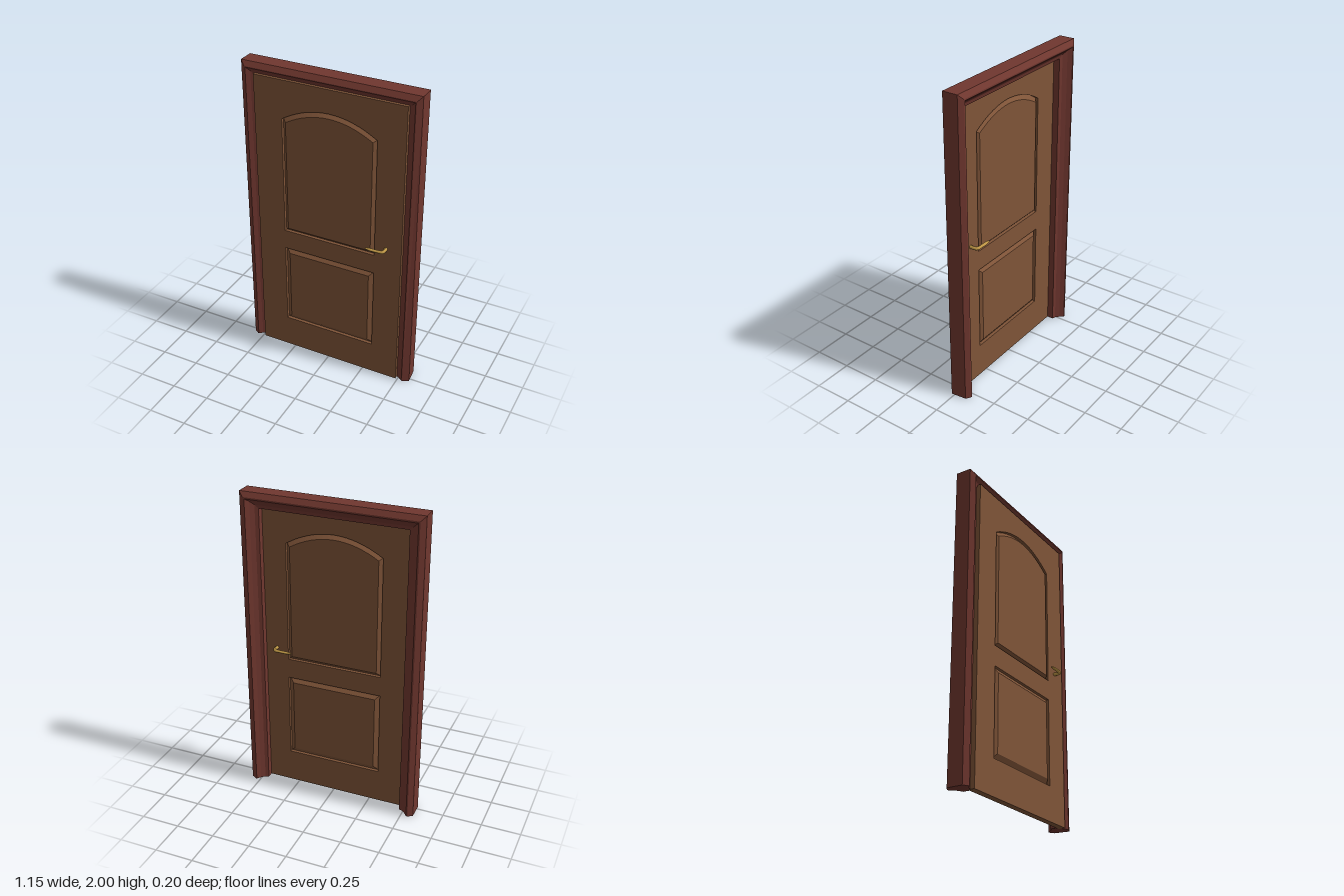
import * as THREE from 'three';

const frameWood = new THREE.MeshStandardMaterial({ color: 0x70372f, side: THREE.DoubleSide });
frameWood.name = 'reddish frame wood';
const doorWood = new THREE.MeshStandardMaterial({ color: 0x7f5438 });
doorWood.name = 'brown door wood';
const brass = new THREE.MeshStandardMaterial({ color: 0xbd9545 });
brass.name = 'brass';

const FACE = { front: 0.038, back: -0.006 }; // door leaf surfaces
const GROOVE = 0.021; // depth of the cut around each panel
const RELIEF = 0.024; // rise of the panel field above the groove
const PANEL_X = 0.003;

function mesh(name, geometry, material) {
  const m = new THREE.Mesh(geometry, material);
  m.name = name;
  return m;
}

// Flat-shaded geometry from a list of triangle corners
function facets(corners) {
  const g = new THREE.BufferGeometry().setFromPoints(corners);
  g.computeVertexNormals();
  return g;
}

const quad = (a, b, c, d) => [a, b, c, a, c, d];

// Frame: one moulding profile (inset from outer edge, z) swept up, across and down with mitres
function frameGeometry() {
  const profile = [
    [0, 0.02], [0.03, 0.04], [0.036, 0.04], [0.06, 0.022], [0.083, 0.012],
    [0.083, -0.007], [0.105, -0.007], [0.105, -0.048],
    [0.083, -0.055], [0.06, -0.075], [0.04, -0.1], [0.03, -0.1], [0, -0.08],
  ];
  const left = -0.575, right = 0.565;
  const rings = [
    ([d, z]) => new THREE.Vector3(left + d, 0, z),
    ([d, z]) => new THREE.Vector3(left + d, 2 - d, z),
    ([d, z]) => new THREE.Vector3(right - d, 2 - d, z),
    // the right jamb leans out slightly at its front foot
    ([d, z]) => new THREE.Vector3(right - d + (d === 0 && z > 0 ? 0.01 : 0), 0, z),
  ].map((place) => profile.map(place));

  const out = [];
  const n = profile.length;
  for (let j = 0; j < 3; j++) {
    for (let k = 0; k < n; k++) {
      const l = (k + 1) % n;
      out.push(...quad(rings[j][k], rings[j][l], rings[j + 1][l], rings[j + 1][k]));
    }
  }
  // Feet of both jambs, facing down
  const tris = THREE.ShapeUtils.triangulateShape(profile.map(([d, z]) => new THREE.Vector2(d, z)), []);
  for (const ring of [rings[0], rings[3]]) {
    for (const t of tris) {
      const [a, b, c] = t.map((i) => ring[i]);
      const up = new THREE.Vector3().subVectors(b, a).cross(new THREE.Vector3().subVectors(c, a)).y > 0;
      out.push(...(up ? [a, c, b] : [a, b, c]));
    }
  }
  return facets(out);
}

// Counter-clockwise panel outline, with an optional arched head
function outline(halfWidth, bottom, spring, top) {
  const pts = [[-halfWidth, bottom], [halfWidth, bottom]];
  const steps = top > spring ? 16 : 1;
  for (let i = 0; i <= steps; i++) {
    const t = 1 - (2 * i) / steps;
    pts.push([halfWidth * t, spring + (top - spring) * (1 - t * t)]);
  }
  return pts;
}

// Door leaf: a slab with an opening for each panel
function leafGeometry(openings) {
  const slab = new THREE.Shape([[-0.488, 0], [0.487, 0], [0.487, 1.932], [-0.488, 1.932]]
    .map(([x, y]) => new THREE.Vector2(x, y)));
  slab.holes = openings.map((pts) => new THREE.Path(pts.map(([x, y]) => new THREE.Vector2(x + PANEL_X, y))));
  const g = new THREE.ExtrudeGeometry(slab, { depth: FACE.front - FACE.back, bevelEnabled: false });
  return g.translate(0, 0, FACE.back);
}

// Fielded panel: sloped border rising from the groove to the flat inner field
function panelGeometry(outer, inner) {
  const o = outer.map(([x, y]) => new THREE.Vector3(x, y, 0));
  const i = inner.map(([x, y]) => new THREE.Vector3(x, y, RELIEF));
  const centre = i.reduce((s, p) => s.add(p), new THREE.Vector3()).divideScalar(i.length);
  const out = [];
  o.forEach((p, k) => {
    const l = (k + 1) % o.length;
    out.push(...quad(p, o[l], i[l], i[k]), centre, i[k], i[l]);
  });
  return facets(out);
}

// Lever handle: a bent tube whose thickness varies, swelling toward a rounded tip
function handleGeometry(base, side) {
  const path = new THREE.CatmullRomCurve3(
    [[0.387, 0], [0.387, 0.03], [0.38, 0.044], [0.36, 0.048], [0.32, 0.05], [0.268, 0.048]]
      .map(([x, z]) => new THREE.Vector3(x, 0.98, base + side * z)));
  const rings = 40, sides = 12;
  const g = new THREE.TubeGeometry(path, rings, 0.011, sides, false);
  const pos = g.attributes.position;
  const p = new THREE.Vector3();
  for (let i = 0; i <= rings; i++) {
    const u = i / rings;
    const c = path.getPointAt(u);
    const lever = THREE.MathUtils.smoothstep(u, 0.3, 0.5);
    const tip = Math.sqrt(Math.max(0, 1 - Math.max(0, (u - 0.7) / 0.3) ** 2));
    for (let k = 0; k <= sides; k++) {
      const v = i * (sides + 1) + k;
      p.fromBufferAttribute(pos, v).sub(c).multiplyScalar(tip);
      p.y *= 1 - 0.25 * lever;
      p.add(c);
      pos.setXYZ(v, p.x, p.y, p.z);
    }
  }
  g.computeVertexNormals();
  return g;
}

export function createModel() {
  const model = new THREE.Group();
  model.name = 'door';
  model.add(mesh('frame', frameGeometry(), frameWood));

  // Outer and inner outline of each panel
  const panels = {
    UpperPanel: [outline(0.308, 0.91, 1.685, 1.782), outline(0.282, 0.935, 1.667, 1.752)],
    LowerPanel: [outline(0.308, 0.22, 0.78, 0.78), outline(0.275, 0.255, 0.747, 0.747)],
  };
  model.add(mesh('leaf', leafGeometry(Object.values(panels).map(([outer]) => outer)), doorWood));

  // Panels and handles on both faces
  for (const face of ['front', 'back']) {
    const side = face === 'front' ? 1 : -1;
    for (const [name, [outer, inner]] of Object.entries(panels)) {
      const panel = mesh(face + name, panelGeometry(outer, inner), doorWood);
      panel.position.set(PANEL_X, 0, FACE[face] - side * GROOVE);
      if (side < 0) panel.rotation.y = Math.PI;
      model.add(panel);
    }
    model.add(mesh(face + 'Handle', handleGeometry(FACE[face], side), brass));
  }
  return model;
}
